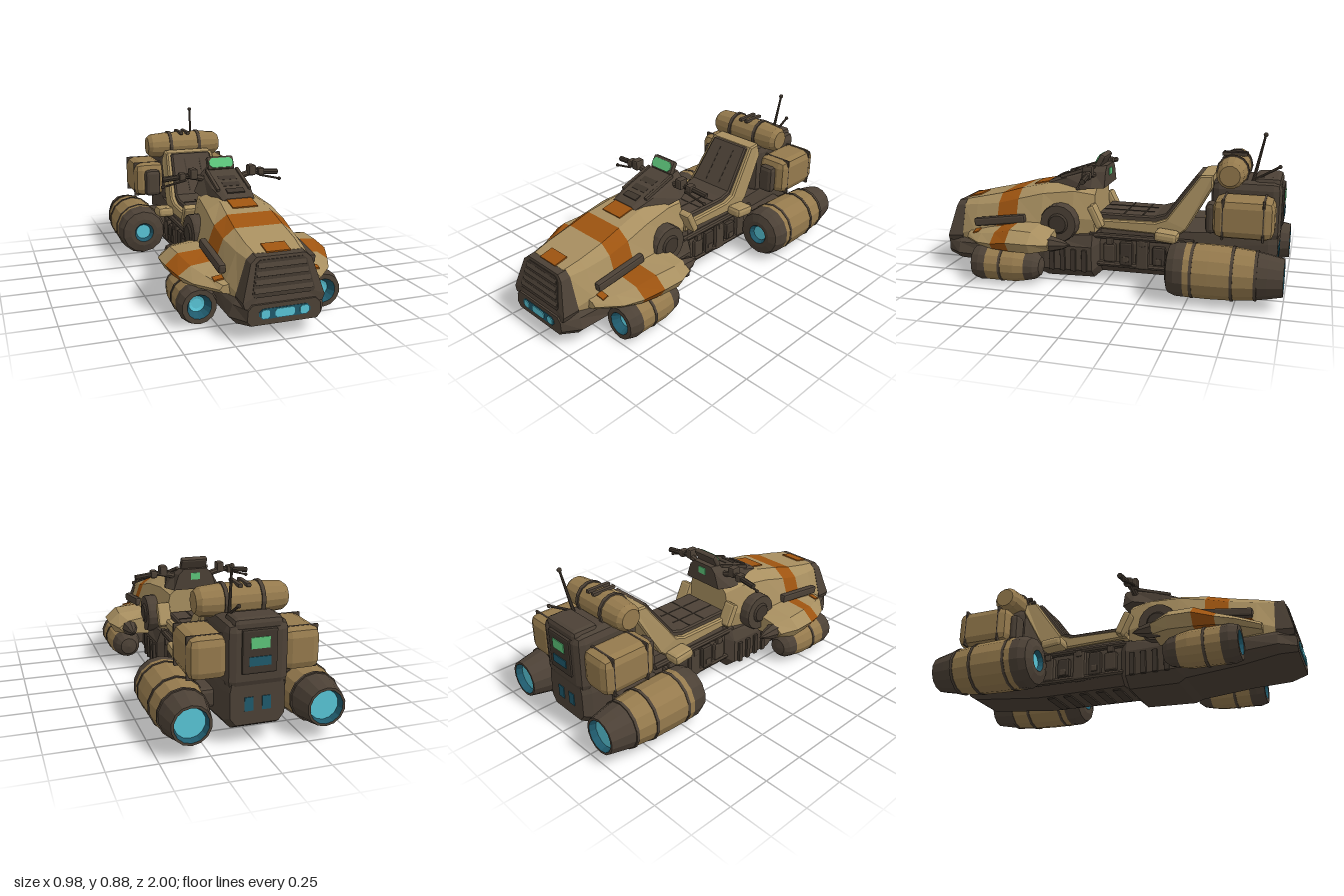
import * as THREE from 'three';
import { RoundedBoxGeometry } from 'three/addons/geometries/RoundedBoxGeometry.js';

const paint = (name, color) => {
  const m = new THREE.MeshStandardMaterial({ color });
  m.name = name;
  return m;
};

export function createModel() {
  const model = new THREE.Group();
  model.name = 'hoverBike';
  const tan = paint('tan', 0xa88f60), worn = paint('wornTan', 0x957a4d), dark = paint('darkBrown', 0x4c4136),
    black = paint('deepBrown', 0x3f362d), orange = paint('orange', 0x9e5410), cyan = paint('cyan', 0x58c4d6),
    teal = paint('teal', 0x1f5a6c), green = paint('green', 0x5cc47a);

  // Faceted mesh from any geometry
  const add = (name, geo, mat) => {
    const g = geo.index ? geo.toNonIndexed() : geo;
    g.computeVertexNormals();
    const mesh = new THREE.Mesh(g, mat);
    mesh.name = name;
    model.add(mesh);
    return mesh;
  };
  // Chamfered box; bevel 0 gives a sharp one
  const box = (name, mat, [w, h, d], [x, y, z], bevel = 0, rx = 0) => {
    const m = add(name, bevel ? new RoundedBoxGeometry(w, h, d, 1, bevel) : new THREE.BoxGeometry(w, h, d), mat);
    m.position.set(x, y, z);
    m.rotation.x = rx;
    return m;
  };
  // Thin plate with cut corners, facing +z
  const plate = (name, mat, w, h, c, [x, y, z], rx = 0) => {
    const a = w / 2, b = h / 2;
    const shape = new THREE.Shape([[-a, c - b], [c - a, -b], [a - c, -b], [a, c - b], [a, b - c], [a - c, b],
      [c - a, b], [-a, b - c]].map(p => new THREE.Vector2(...p)));
    const m = add(name, new THREE.ExtrudeGeometry(shape, { depth: 0.006, bevelEnabled: false }), mat);
    m.position.set(x, y, z);
    m.rotation.x = rx;
  };
  // Straight rod between two points
  const rod = (name, mat, a, b, r, r2 = r) => {
    const p = new THREE.Vector3(...a), q = new THREE.Vector3(...b), d = q.clone().sub(p);
    const m = add(name, new THREE.CylinderGeometry(r2, r, d.length(), 8), mat);
    m.position.copy(p).add(q).multiplyScalar(0.5);
    m.quaternion.setFromUnitVectors(new THREE.Vector3(0, 1, 0), d.normalize());
  };
  // Turned part along z (or x), profile of [radius, position], ascending
  const turned = (name, mat, profile, x, y, z = 0, axis = 'z', sides = 14) => {
    const g = new THREE.LatheGeometry(profile.map(p => new THREE.Vector2(...p)), sides);
    if (axis === 'z') g.rotateX(Math.PI / 2); else g.rotateZ(-Math.PI / 2);
    add(name, g, mat).position.set(x, y, z);
  };
  // Skin over rings ordered front to back, one material per segment
  const loft = (name, rings, mats) => {
    const pos = [], g = new THREE.BufferGeometry(), n = rings[0].length;
    const list = Array.isArray(mats) ? mats : rings.slice(1).map(() => mats);
    const centre = r => [0, 1, 2].map(k => r.reduce((s, p) => s + p[k], 0) / n);
    rings.slice(1).forEach((back, s) => {
      const front = rings[s], start = pos.length / 3;
      for (let i = 0; i < n; i++) {
        const j = (i + 1) % n;
        pos.push(...front[i], ...front[j], ...back[j], ...front[i], ...back[j], ...back[i]);
        if (s === 0) pos.push(...centre(front), ...front[j], ...front[i]);
        if (s === rings.length - 2) pos.push(...centre(back), ...back[i], ...back[j]);
      }
      g.addGroup(start, pos.length / 3 - start, s);
    });
    g.setAttribute('position', new THREE.Float32BufferAttribute(pos, 3));
    return add(name, g, list);
  };
  // Symmetric ring: half outline from the top edge down the side
  const ring = (z, ...half) => [...half.map(([x, y, dz = 0]) => [x, y, z + dz]),
    ...half.slice().reverse().map(([x, y, dz = 0]) => [-x, y, z + dz])];
  // Side outline in (z, y) extruded across the width, narrowing above the seat
  const across = (name, mat, pts, width) => {
    const g = new THREE.ExtrudeGeometry(new THREE.Shape(pts.map(p => new THREE.Vector2(...p))),
      { depth: width - 0.02, bevelThickness: 0.01, bevelSize: 0.008, bevelSegments: 1 });
    g.translate(0, 0, -(width - 0.02) / 2).rotateY(-Math.PI / 2);
    const p = g.attributes.position;
    for (let i = 0; i < p.count; i++) p.setX(i, p.getX(i) * (1 - Math.max(0, p.getY(i) - 0.54) * 1.6));
    add(name, g, mat);
  };

  // Hood with its stripe
  loft('hood', [
    ring(0.9, [0.12, 0.41], [0.155, 0.383], [0.205, 0.22], [0.2, 0.18]),
    ring(0.8, [0.13, 0.433], [0.175, 0.395], [0.23, 0.25], [0.22, 0.18]),
    ring(0.655, [0.13, 0.466], [0.19, 0.418], [0.24, 0.28], [0.23, 0.18]),
    ring(0.53, [0.125, 0.503], [0.195, 0.452], [0.25, 0.3], [0.23, 0.18]),
    ring(0.38, [0.11, 0.535], [0.185, 0.49], [0.24, 0.32], [0.22, 0.18]),
    ring(0.2, [0.09, 0.555], [0.165, 0.51], [0.2, 0.36], [0.18, 0.22]),
    ring(0.08, [0.08, 0.545], [0.14, 0.49], [0.17, 0.35], [0.15, 0.22]),
  ], [tan, tan, orange, tan, tan, tan]);
  box('hoodFrontMarker', orange, [0.125, 0.009, 0.08], [0, 0.42, 0.868], 0, 0.23);
  box('hoodRearMarker', orange, [0.14, 0.009, 0.1], [0, 0.528, 0.425], 0, 0.21);

  // Leaning grille and slats
  const face = [[0.125, 0.404, -0.046], [0.157, 0.377, -0.04], [0.21, 0.2], [0.2, 0.17]];
  loft('grille', [ring(0.985, ...face), ring(0.89, ...face.map(([x, y]) => [x + 0.003, y + 0.006]))], dark);
  const recess = [[0.11, 0.39, -0.042], [0.13, 0.375, -0.039], [0.16, 0.235, -0.008], [0.15, 0.22, -0.005]];
  loft('grilleRecess', [ring(0.988, ...recess), ring(0.982, ...recess)], black);
  for (let i = 0; i < 4; i++) {
    const y = 0.248 + i * 0.038;
    box('grilleSlat', dark, [0.3 - i * 0.018, 0.024, 0.014], [0, y, 0.984 - 0.22 * (y - 0.2)], 0, -0.4);
  }

  // Bumper and belly
  loft('bumperAndBelly', [
    ring(0.991, [0.16, 0.188], [0.185, 0.165], [0.19, 0.11], [0.17, 0.085]),
    ring(0.9, [0.2, 0.2], [0.23, 0.17], [0.25, 0.11], [0.21, 0.07]),
    ring(0.7, [0.2, 0.21], [0.235, 0.17], [0.24, 0.1], [0.18, 0.05]),
    ring(0.4, [0.2, 0.22], [0.225, 0.18], [0.23, 0.08], [0.18, 0.02]),
    ring(0.36, [0.2, 0.25], [0.235, 0.2], [0.235, 0.06], [0.17, 0]),
    ring(0.08, [0.2, 0.27], [0.225, 0.2], [0.225, 0.06], [0.16, 0.005]),
    ring(0.04, [0.16, 0.3], [0.18, 0.22], [0.18, 0.09], [0.13, 0.04]),
    ring(-0.5, [0.16, 0.32], [0.17, 0.24], [0.17, 0.09], [0.12, 0.04]),
    ring(-0.9, [0.15, 0.34], [0.16, 0.28], [0.16, 0.13], [0.12, 0.08]),
    ring(-0.95, [0.13, 0.33], [0.14, 0.28], [0.14, 0.15], [0.11, 0.11]),
  ], dark);
  plate('lightBar', teal, 0.265, 0.052, 0.018, [0, 0.14, 0.988]);
  [[-0.1, 0.044], [0, 0.1], [0.1, 0.044]].forEach(([x, w]) => plate('frontLight', cyan, w, 0.042, 0.01, [x, 0.14, 0.992]));
  for (let i = 0; i < 5; i++) box('bellyRib', black, [0.2, 0.03, 0.05], [0, 0.045, -0.02 - i * 0.1], 0.008);

  for (const s of [1, -1]) {
    // Front fender with stripe and dark tail
    const wing = (z, ...p) => {
      const r = p.map(([x, y]) => [x * s, y, z]);
      return s > 0 ? r : r.reverse();
    };
    loft('frontFender', [
      wing(0.83, [0.19, 0.25], [0.25, 0.24], [0.27, 0.22], [0.25, 0.2], [0.19, 0.19]),
      wing(0.72, [0.2, 0.28], [0.31, 0.262], [0.37, 0.225], [0.34, 0.2], [0.2, 0.18]),
      wing(0.62, [0.22, 0.298], [0.35, 0.282], [0.415, 0.235], [0.39, 0.2], [0.2, 0.18]),
      wing(0.51, [0.22, 0.33], [0.385, 0.318], [0.452, 0.26], [0.41, 0.2], [0.2, 0.18]),
      wing(0.38, [0.22, 0.33], [0.39, 0.315], [0.455, 0.26], [0.42, 0.2], [0.2, 0.19]),
      wing(0.28, [0.22, 0.31], [0.35, 0.29], [0.41, 0.25], [0.37, 0.21], [0.2, 0.2]),
    ], [tan, tan, orange, tan, tan]);
    box('fenderMarker', orange, [0.05, 0.009, 0.035], [0.258 * s, 0.259, 0.77], 0, 0.22).rotation.z = -0.16 * s;
    box('fenderRail', dark, [0.04, 0.05, 0.32], [0.24 * s, 0.328, 0.63], 0.012, 0.14);
    turned('fenderTail', dark, [[0, 0.16], [0.028, 0.21], [0.045, 0.27], [0.045, 0.32]], 0.345 * s, 0.245, 0, 'z', 8);

    // Front thruster pod
    const px = 0.34 * s, py = 0.105;
    turned('podTail', dark, [[0, 0.33], [0.05, 0.34], [0.075, 0.37], [0.087, 0.42]], px, py);
    turned('podShell', worn, [[0.087, 0.42], [0.098, 0.48], [0.1, 0.65]], px, py);
    turned('podBand', dark, [[0.09, 0.555], [0.103, 0.555], [0.103, 0.57], [0.09, 0.57]], px, py);
    turned('podRim', dark, [[0.1, 0.65], [0.103, 0.69], [0.09, 0.735], [0.064, 0.735]], px, py);
    turned('podBowl', teal, [[0.064, 0.735], [0.042, 0.69]], px, py);
    turned('podLight', cyan, [[0.042, 0.69], [0.026, 0.685], [0, 0.685]], px, py);
    box('podMount', dark, [0.12, 0.08, 0.2], [0.25 * s, 0.13, 0.52], 0.015);

    // Rear engine
    const ex = 0.343 * s, ey = 0.167;
    turned('engineGlow', cyan, [[0, -0.965], [0.078, -0.965]], ex, ey);
    turned('engineBowl', teal, [[0.078, -0.965], [0.088, -1]], ex, ey);
    turned('engineNozzle', dark, [[0.088, -1], [0.101, -1], [0.118, -0.92], [0.129, -0.86]], ex, ey);
    turned('engineShell', worn, [[0.129, -0.86], [0.143, -0.73], [0.147, -0.62], [0.147, -0.49]], ex, ey);
    for (const [z, r] of [[-0.86, 0.134], [-0.74, 0.147], [-0.53, 0.15]])
      turned('engineBand', dark, [[r - 0.02, z - 0.008], [r, z - 0.008], [r, z + 0.008], [r - 0.02, z + 0.008]], ex, ey);
    turned('engineCowl', dark, [[0.147, -0.49], [0.146, -0.44], [0.13, -0.4], [0.085, -0.385], [0.06, -0.385]], ex, ey);
    turned('intakeBowl', teal, [[0.06, -0.385], [0.045, -0.41]], ex, ey);
    turned('intakeLight', cyan, [[0.045, -0.41], [0, -0.41]], ex, ey);
    box('engineMount', dark, [0.14, 0.1, 0.28], [0.2 * s, 0.19, -0.64], 0.02);

    // Steering hub, fairings and side machinery
    turned('hub', dark, [[0, -0.045], [0.105, -0.045], [0.11, -0.03], [0.11, 0.03], [0.105, 0.045], [0, 0.045]], 0.205 * s, 0.335, 0.27, 'x', 16);
    turned('hubCap', black, [[0, -0.056], [0.05, -0.056], [0.06, -0.045], [0.06, 0.045], [0.05, 0.056], [0, 0.056]], 0.205 * s, 0.335, 0.27, 'x', 16);
    box('frontFairing', tan, [0.08, 0.14, 0.045], [0.185 * s, 0.38, 0.06], 0.014, 0.45);
    box('rearFairing', tan, [0.1, 0.06, 0.13], [0.22 * s, 0.305, -0.355], 0.02, -0.1);
    for (let i = 0; i < 5; i++) {
      const z = -0.02 - i * 0.095;
      box('sideMachine', i % 2 ? black : dark, [0.05, 0.11 + 0.03 * (i % 3), 0.075], [0.175 * s, 0.17, z], 0.012);
      box('sideValve', dark, [0.03, 0.04, 0.04], [0.19 * s, 0.24 - 0.1 * (i % 2), z], 0.008);
    }
    for (const y of [0.1, 0.265]) rod('sidePipe', dark, [0.18 * s, y, 0.1], [0.18 * s, y, -0.5], 0.017);
    for (let i = 0; i < 4; i++) box('bellyFin', black, [0.02, 0.13, 0.03], [0.235 * s, 0.12, 0.12 + i * 0.065], 0.005);

    // Panniers
    box('pannier', worn, [0.2, 0.215, 0.32], [0.236 * s, 0.45, -0.775], 0.045);
    for (const z of [-0.67, -0.88]) box('pannierBand', dark, [0.2, 0.221, 0.014], [0.237 * s, 0.45, z], 0.006);
    box('pannierFrame', dark, [0.1, 0.17, 0.06], [0.23 * s, 0.435, -0.6], 0.025);

    // Handlebar, grip and lever
    rod('handlebar', dark, [0.07 * s, 0.59, 0.1], [0.2 * s, 0.625, 0.1], 0.018);
    box('barClamp', dark, [0.045, 0.06, 0.06], [0.175 * s, 0.635, 0.11], 0.01);
    rod('grip', black, [0.2 * s, 0.622, 0.1], [0.345 * s, 0.608, 0.09], 0.016);
    box('switchBox', dark, [0.04, 0.045, 0.05], [0.235 * s, 0.62, 0.1], 0.01);
    rod('lever', dark, [0.22 * s, 0.605, 0.13], [0.35 * s, 0.572, 0.115], 0.006);
    add('leverKnob', new THREE.IcosahedronGeometry(0.011, 1), dark).position.set(0.35 * s, 0.572, 0.115);
    box('consoleRail', dark, [0.02, 0.02, 0.22], [0.09 * s, 0.61, 0.2], 0.005, 0.33);
  }

  // Console and display
  loft('console', [
    ring(0.38, [0.065, 0.545], [0.09, 0.535], [0.1, 0.5]),
    ring(0.26, [0.075, 0.595], [0.11, 0.575], [0.13, 0.5]),
    ring(0.1, [0.08, 0.645], [0.11, 0.615], [0.165, 0.53]),
    ring(0.03, [0.07, 0.65], [0.1, 0.62], [0.13, 0.53]),
  ], dark);
  for (let i = 0; i < 3; i++) box('consolePanel', black, [0.1, 0.009, 0.04], [0, 0.572 + i * 0.021, 0.32 - i * 0.065], 0, 0.35);
  box('displayFrame', dark, [0.16, 0.08, 0.035], [0, 0.676, 0.07], 0.012, -0.5);
  plate('display', green, 0.142, 0.056, 0.017, [0, 0.682, 0.086], -0.5);
  box('riderScreen', green, [0.055, 0.04, 0.008], [0, 0.607, 0.029]);

  // Seat and backrest
  across('seatFrame', tan, [[0.06, 0.315], [0.06, 0.35], [-0.28, 0.355], [-0.345, 0.38], [-0.525, 0.63], [-0.585, 0.635],
    [-0.585, 0.58], [-0.45, 0.34], [-0.4, 0.3]], 0.36);
  across('seatCushion', dark, [[0.07, 0.34], [0.05, 0.382], [-0.27, 0.382], [-0.335, 0.402], [-0.5, 0.627], [-0.545, 0.627],
    [-0.37, 0.35]], 0.3);
  for (const x of [-0.05, 0.05]) {
    box('seatSeam', black, [0.008, 0.006, 0.3], [x, 0.39, -0.1]);
    box('backSeam', black, [0.008, 0.22, 0.006], [x, 0.515, -0.41], 0, -0.633);
  }
  for (const z of [-0.09, -0.2]) box('seatSeam', black, [0.27, 0.006, 0.008], [0, 0.39, z]);

  // Rear core with instrument panels
  box('rearCore', dark, [0.32, 0.33, 0.38], [0, 0.455, -0.77], 0.045);
  box('rearRack', dark, [0.25, 0.07, 0.15], [0, 0.605, -0.88], 0.025);
  box('rearPanel', black, [0.18, 0.22, 0.03], [0, 0.48, -0.955], 0.01);
  box('rearScreen', green, [0.095, 0.055, 0.008], [0, 0.525, -0.97]);
  box('rearDisplay', teal, [0.11, 0.045, 0.008], [0, 0.435, -0.97]);
  for (const x of [-0.045, 0.045]) box('rearLamp', teal, [0.045, 0.07, 0.008], [x, 0.215, -0.95]);

  // Bedroll with straps
  turned('bedroll', worn, [[0, -0.24], [0.055, -0.24], [0.074, -0.215], [0.083, -0.1], [0.084, 0.1], [0.074, 0.215], [0.055, 0.24], [0, 0.24]],
    0, 0.663, -0.69, 'x');
  for (const x of [-0.095, 0.095])
    turned('strap', dark, [[0.06, -0.01], [0.091, -0.01], [0.091, 0.01], [0.06, 0.01]], x, 0.663, -0.69, 'x');
  for (const x of [-0.022, 0.022]) box('buckle', dark, [0.025, 0.02, 0.14], [x, 0.744, -0.69], 0.006);

  // Antennas
  rod('antenna', dark, [0.095, 0.61, -0.8], [0.105, 0.87, -0.857], 0.01, 0.006);
  add('antennaTip', new THREE.IcosahedronGeometry(0.013, 1), dark).position.set(0.105, 0.87, -0.857);
  rod('shortAntenna', dark, [0.1, 0.625, -0.81], [0.1, 0.7, -0.94], 0.007);
  add('shortAntennaTip', new THREE.IcosahedronGeometry(0.011, 1), dark).position.set(0.1, 0.7, -0.94);
  return model;
}
